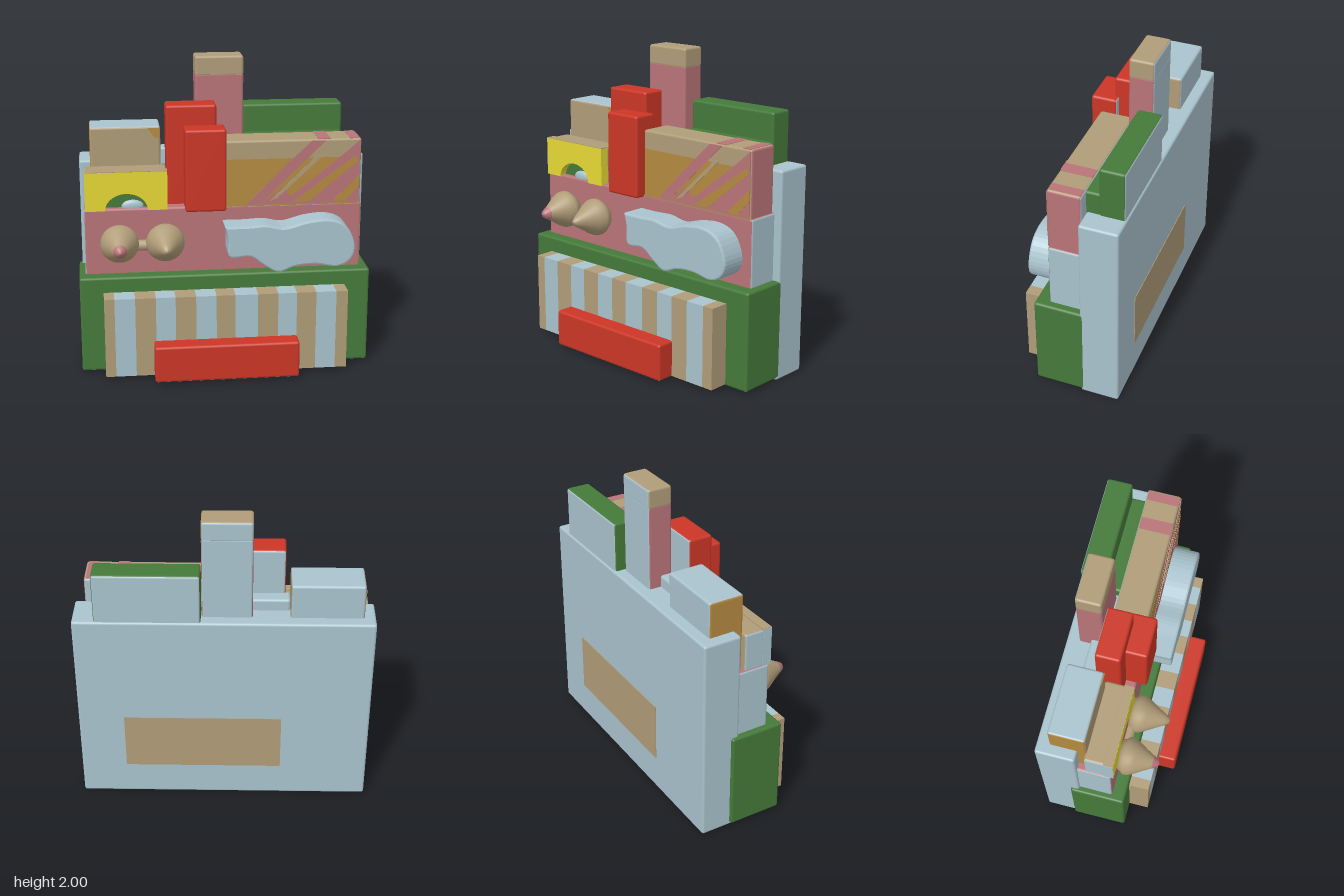
import * as THREE from 'three';
import { RoundedBoxGeometry } from 'three/addons/geometries/RoundedBoxGeometry.js';

function mat(name, color) {
  const m = new THREE.MeshStandardMaterial({ color });
  m.name = name;
  return m;
}

export function createModel() {
  const model = new THREE.Group();
  model.name = 'blockBuilding';
  // the whole block sits very slightly turned
  model.rotation.y = -0.027;

  const blue = mat('paleBlue', 0xa9c3cd), tan = mat('tan', 0xb09c78), pink = mat('dustyPink', 0xb87478);
  const red = mat('red', 0xcc3626), green = mat('green', 0x457a3a), yellow = mat('yellow', 0xe6d835);
  const orange = mat('ochre', 0xb48a40);

  function add(name, geometry, material) {
    const mesh = new THREE.Mesh(geometry, material);
    mesh.name = name;
    model.add(mesh);
    return mesh;
  }
  // softened box from min/max ranges; sides overrides single face colours
  function block(name, [x0, x1], [y0, y1], [z0, z1], main, sides = {}) {
    const faces = ['right', 'left', 'top', 'bottom', 'front', 'back'].map((f) => sides[f] || main);
    const g = new RoundedBoxGeometry(x1 - x0, y1 - y0, z1 - z0, 2, 0.016);
    const mesh = add(name, g, faces);
    mesh.position.set((x0 + x1) / 2, (y0 + y1) / 2, (z0 + z1) / 2);
    return mesh;
  }
  // thin flat painted detail facing the front
  function paint(name, pts, z, material) {
    const shape = new THREE.Shape(pts.map(([x, y]) => new THREE.Vector2(x, y)));
    const g = new THREE.ExtrudeGeometry(shape, { depth: 0.004, bevelEnabled: false });
    return add(name, g, material).position.z = z;
  }

  // back slab with its painted rectangle
  block('backSlab', [-0.92, 0.93], [0, 1.345], [-0.395, -0.145], blue);
  block('roofStep', [-0.4, 0.16], [1.3, 1.42], [-0.24, -0.14], blue);
  const patch = add('backPanel', new THREE.BoxGeometry(1.0, 0.39, 0.006), tan);
  patch.position.set(0.14, 0.425, -0.396);

  // lower storey
  block('base', [-0.94, 0.93], [0.015, 0.65], [-0.2, 0.155], green, { bottom: blue });
  const edges = [-0.79, -0.725, -0.595, -0.465, -0.34, -0.21, -0.08, 0.04, 0.185, 0.315, 0.435, 0.56, 0.69, 0.765];
  for (let i = 0; i < edges.length - 1; i++) {
    const g = new THREE.BoxGeometry(edges[i + 1] - edges[i], 0.525, 0.145);
    const m = i % 2 ? blue : tan;
    const stripe = add('awningStripe', g, [m, m, m, blue, m, m]);
    stripe.position.set((edges[i] + edges[i + 1]) / 2, 0.2875, 0.2125);
  }
  block('frontStep', [-0.48, 0.44], [0.02, 0.26], [0.27, 0.4], red, { bottom: blue });

  // middle storey
  block('middleStorey', [-0.9, 0.88], [0.63, 1.08], [-0.2, 0.07], pink, { left: blue, right: blue });

  // wavy raised board
  const wave = new THREE.SplineCurve([
    [-0.02, 0.985], [0.0, 0.9], [0.01, 0.785], [0.14, 0.785], [0.22, 0.73], [0.32, 0.675], [0.43, 0.71],
    [0.56, 0.72], [0.7, 0.7], [0.79, 0.75], [0.81, 0.85], [0.75, 0.97], [0.64, 1.015], [0.5, 1.005],
    [0.36, 0.97], [0.24, 0.99], [0.12, 0.985], [-0.02, 0.985],
  ].map(([x, y]) => new THREE.Vector2(x, y)));
  const board = add('wavyBoard', new THREE.ExtrudeGeometry(new THREE.Shape(wave.getPoints(72).slice(0, -1)), {
    depth: 0.165, bevelThickness: 0.012, bevelSize: 0.012, bevelOffset: -0.012, bevelSegments: 2,
  }), blue);
  board.position.z = 0.06;

  // pair of pointed knobs joined by a bridge
  const profile = [[0, 0], [0.095, 0], [0.105, 0.03], [0.122, 0.05], [0.122, 0.075], [0.105, 0.115],
    [0.068, 0.175], [0.04, 0.225], [0.02, 0.255], [0, 0.263]];
  const lathe = (pts) => new THREE.LatheGeometry(pts.map(([r, h]) => new THREE.Vector2(r, h)), 32);
  for (const x of [-0.68, -0.39]) {
    const knob = add('knob', lathe(profile), tan);
    knob.rotation.x = Math.PI / 2;
    knob.position.set(x, 0.865, 0.062);
  }
  const tip = add('knobTip', lathe([[0.043, 0.223], [0.024, 0.257], [0, 0.267]]), pink);
  tip.rotation.x = Math.PI / 2;
  tip.position.set(-0.68, 0.865, 0.062);
  const bridge = add('knobBridge', new THREE.CylinderGeometry(0.035, 0.035, 0.14, 16), tan);
  bridge.rotation.z = Math.PI / 2;
  bridge.position.set(-0.535, 0.84, 0.09);

  // arched yellow block with a recess
  block('archCore', [-0.89, -0.37], [1.06, 1.32], [-0.1, 0.035], tan, { front: green, left: blue });
  const arch = new THREE.Shape();
  arch.moveTo(-0.89, 1.07);
  arch.lineTo(-0.765, 1.07);
  arch.absellipse(-0.63, 1.07, 0.135, 0.11, Math.PI, 0, true);
  arch.lineTo(-0.37, 1.07);
  arch.lineTo(-0.37, 1.32);
  arch.lineTo(-0.89, 1.32);
  const archMesh = add('archFront', new THREE.ExtrudeGeometry(arch, { depth: 0.06, bevelEnabled: false }), yellow);
  archMesh.position.z = 0.025;
  add('archTop', new THREE.BoxGeometry(0.52, 0.006, 0.06), tan).position.set(-0.63, 1.321, 0.054);
  add('archSide', new THREE.BoxGeometry(0.006, 0.25, 0.06), blue).position.set(-0.89, 1.195, 0.054);
  const spot = add('archSpot', new THREE.SphereGeometry(1, 20, 12), blue);
  spot.scale.set(0.07, 0.04, 0.02);
  spot.position.set(-0.59, 1.09, 0.045);

  // upper left block
  block('leftTower', [-0.85, -0.4], [1.06, 1.57], [-0.32, -0.09], tan, { top: blue, back: blue, left: orange });
  paint('leftTowerPatch', [[-0.48, 1.56], [-0.44, 1.5], [-0.405, 1.49], [-0.405, 1.56]], -0.091, orange);

  // red towers
  block('tallRedTower', [-0.37, -0.05], [1.06, 1.72], [-0.16, 0.0], red, { back: blue });
  block('shortRedTower', [-0.26, 0.0], [1.06, 1.59], [-0.03, 0.135], red, { back: blue });

  // chimney with a pale cap
  block('chimney', [-0.17, 0.14], [1.32, 1.89], [-0.32, -0.16], pink, { back: blue });
  block('chimneyCap', [-0.17, 0.14], [1.87, 2.0], [-0.32, -0.16], tan, { back: blue });

  // green roof block
  block('greenRoof', [0.145, 0.795], [1.32, 1.67], [-0.385, -0.225], green, { back: blue });
  block('greenLedge', [0.15, 0.79], [1.32, 1.49], [-0.24, -0.13], green);

  // striped sign block
  block('signBlock', [0.0, 0.87], [1.06, 1.5], [-0.145, 0.07], tan, { right: pink, back: blue });
  paint('signField', [[0.01, 1.075], [0.86, 1.075], [0.86, 1.38], [0.01, 1.38]], 0.067, orange);
  paint('wideStripe', [[0.13, 1.08], [0.22, 1.08], [0.3, 1.16], [0.64, 1.49], [0.55, 1.49], [0.4, 1.35]], 0.069, pink);
  paint('lowStripe', [[0.22, 1.08], [0.4, 1.08], [0.86, 1.42], [0.86, 1.49], [0.78, 1.42], [0.42, 1.13], [0.36, 1.19]],
    0.069, pink);
  paint('cornerStripe', [[0.38, 1.08], [0.86, 1.08], [0.86, 1.43]], 0.069, pink);
  paint('paleStripe', [[0.28, 1.1], [0.33, 1.12], [0.63, 1.4], [0.58, 1.39]], 0.071, tan);
  paint('ochreStripe', [[0.43, 1.09], [0.53, 1.09], [0.85, 1.35], [0.84, 1.39], [0.62, 1.23]], 0.071, orange);
  paint('ochreCorner', [[0.69, 1.09], [0.77, 1.09], [0.86, 1.19], [0.86, 1.26]], 0.071, orange);
  for (const [x, w] of [[0.63, 0.08], [0.825, 0.06]]) {
    add('signTopStripe', new THREE.BoxGeometry(w, 0.006, 0.2), pink).position.set(x, 1.499, -0.037);
  }

  return model;
}
